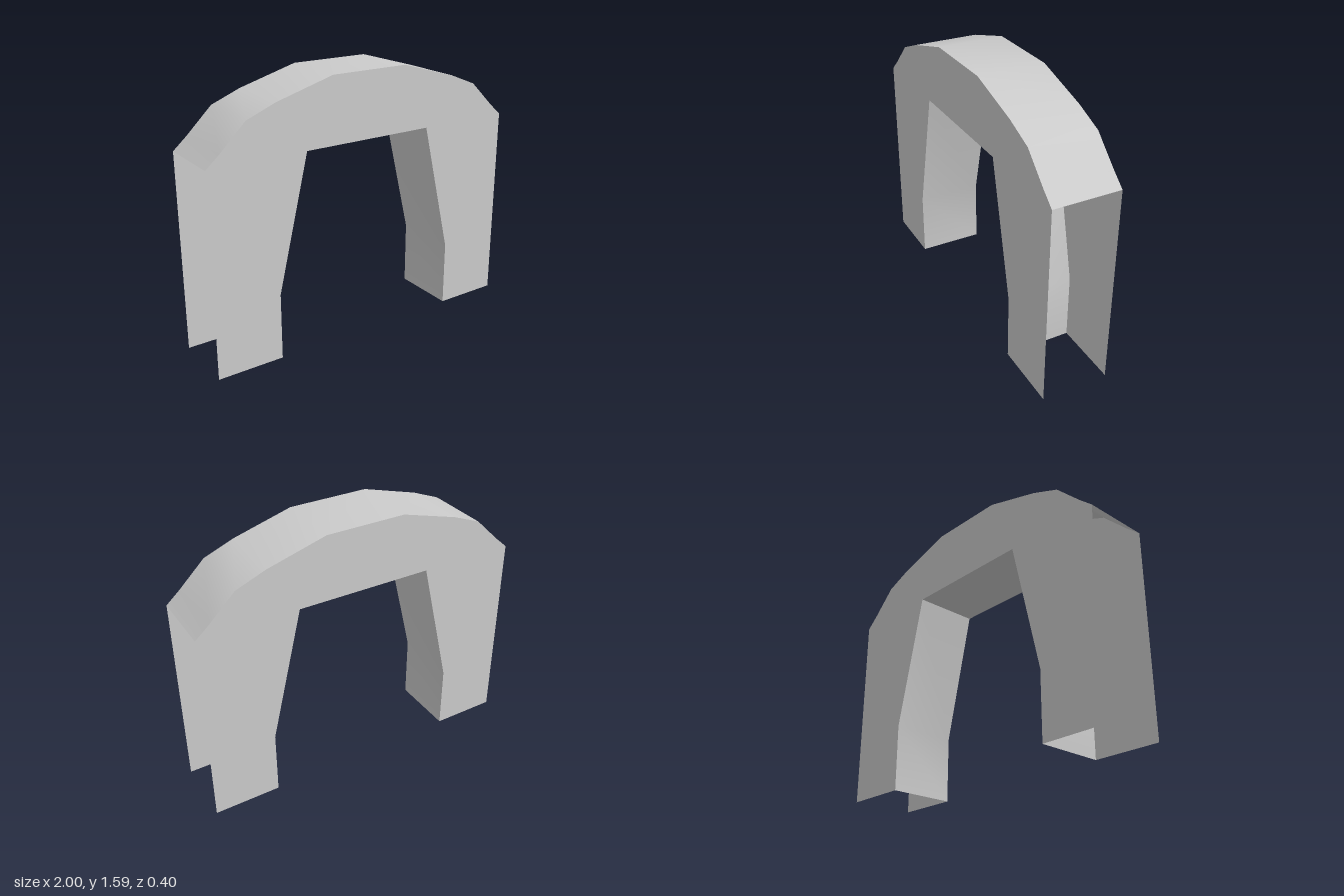
import * as THREE from 'three';

const DEPTH = 0.4;
const material = new THREE.MeshStandardMaterial({ color: 0xcccccc, side: THREE.DoubleSide });

// right half of the roof line, then the whole line from left to right
const roofHalf = [[0.24, 1.59], [0.59, 1.49], [0.765, 1.42], [0.92, 1.27], [1, 1.2]];
const mirrored = (points) => points.map(([x, y]) => [-x, y]).reverse();
const roofLine = [...mirrored(roofHalf), ...roofHalf];

// right wall of the opening, from the floor up
const wallLine = [[0.6, 0], [0.6, 0.4], [0.41, 1.2]];
const openingLine = [...wallLine, ...mirrored(wallLine)];

// sheet swept along z from a line in the xy plane, smooth along its bends
function sheet(name, points) {
  const geometry = new THREE.PlaneGeometry(1, DEPTH, points.length - 1, 1);
  const position = geometry.attributes.position;
  for (let i = 0; i < position.count; i++) {
    const [x, y] = points[i % points.length];
    position.setXYZ(i, x, y, i < points.length ? -DEPTH / 2 : DEPTH / 2);
  }
  geometry.computeVertexNormals();
  const mesh = new THREE.Mesh(geometry, material);
  mesh.name = name;
  return mesh;
}

export function createModel() {
  const group = new THREE.Group();
  group.name = 'arch';

  // flat front and back panels
  const outline = [[-1, 0], ...roofLine, [1, 0], ...openingLine];
  const shape = new THREE.Shape(outline.map(([x, y]) => new THREE.Vector2(x, y)));
  for (const side of [1, -1]) {
    const panel = new THREE.Mesh(new THREE.ShapeGeometry(shape), material);
    panel.name = side > 0 ? 'frontPanel' : 'backPanel';
    panel.position.z = side * DEPTH / 2;
    if (side < 0) panel.rotation.y = Math.PI;
    group.add(panel);
  }

  // roof and opening lining; outer sides and feet stay open
  group.add(
    sheet('roof', roofLine),
    sheet('leftInnerWall', wallLine),
    sheet('ceiling', openingLine.slice(2, 4)),
    sheet('rightInnerWall', mirrored(wallLine)),
  );
  return group;
}
